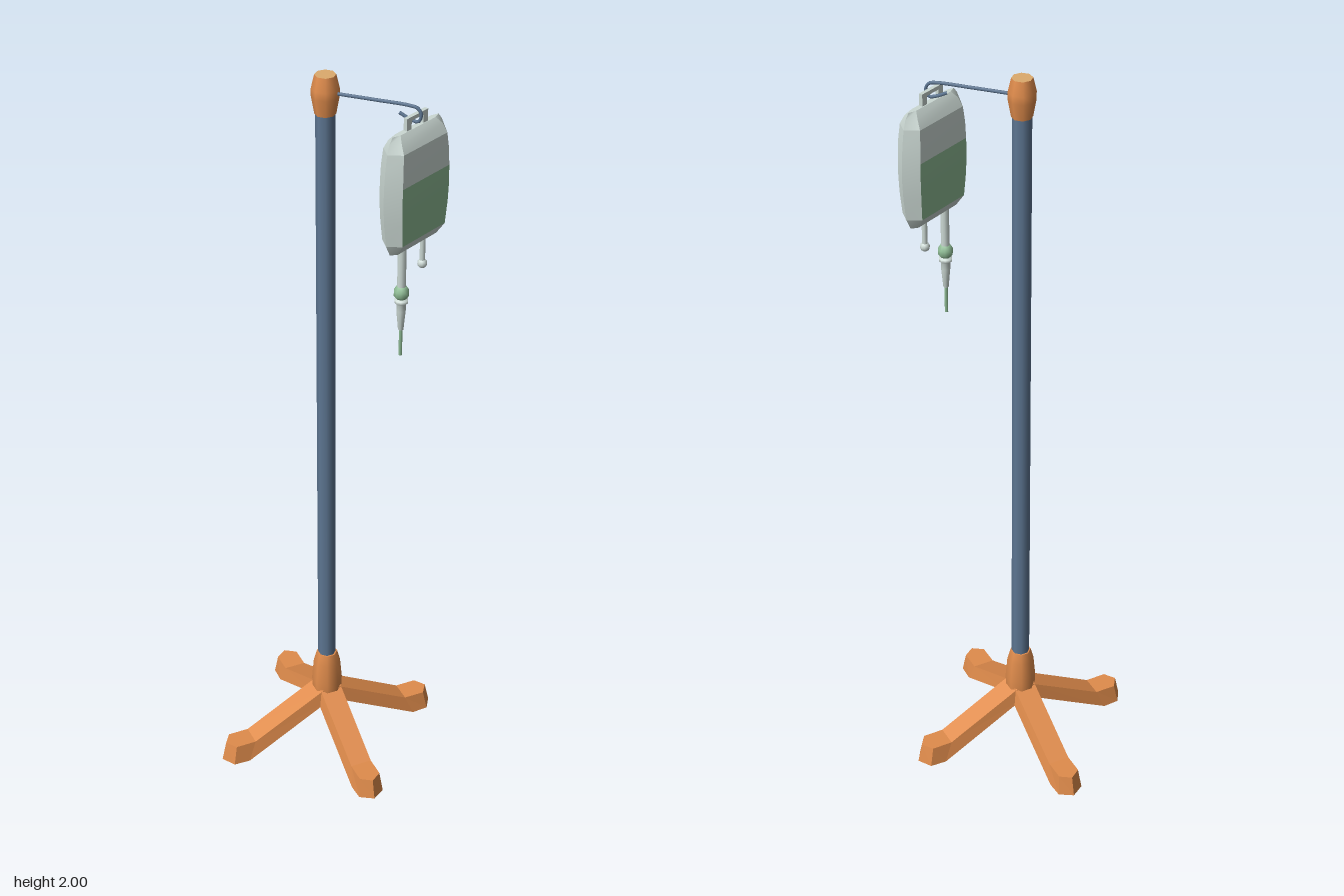
import * as THREE from 'three';

const mat = (name, color) => {
  const m = new THREE.MeshStandardMaterial({ color });
  m.name = name;
  return m;
};

// Surface through rows of points; each row is an open strip of [x, y, z]
function sheet(rows, caps = false) {
  const n = rows[0].length, idx = [];
  for (let i = 0; i < rows.length - 1; i++)
    for (let j = 0; j < n - 1; j++) {
      const a = i * n + j, d = a + n;
      idx.push(a, a + 1, d + 1, a, d + 1, d);
    }
  if (caps) {
    const e = (rows.length - 1) * n;
    for (let j = 1; j < n - 2; j++) idx.push(e, e + j, e + j + 1, 0, j + 1, j);
  }
  const g = new THREE.BufferGeometry();
  g.setAttribute('position', new THREE.Float32BufferAttribute(rows.flat(2), 3));
  g.setIndex(idx);
  g.computeVertexNormals();
  return g;
}

function flat(g) {
  const f = g.toNonIndexed();
  f.computeVertexNormals();
  return f;
}

export function createModel() {
  const orange = mat('orange', 0xe08c4c);
  const tan = mat('tan', 0xdcaa6c);
  const steel = mat('blue steel', 0x5d7692);
  const pale = mat('pale plastic', 0xcbd8d3);
  const green = mat('green fluid', 0x8ebb94);

  const model = new THREE.Group();
  const add = (parent, name, geo, material, x = 0, y = 0, z = 0) => {
    const m = new THREE.Mesh(geo, material);
    m.name = name;
    m.position.set(x, y, z);
    parent.add(m);
    return m;
  };
  const turned = (pts, sides) =>
    new THREE.LatheGeometry(pts.map(p => new THREE.Vector2(...p)), sides, Math.PI / sides);

  // Stand: pole, hub, cap and four splayed legs
  const stand = new THREE.Group();
  stand.name = 'stand';
  stand.position.x = -0.027;
  model.add(stand);

  add(stand, 'pole', new THREE.CylinderGeometry(0.024, 0.024, 1.68, 8, 1, true, Math.PI / 8), steel, 0, 1.08);
  add(stand, 'hub', turned([[0.04, 0.16], [0.041, 0.19], [0.036, 0.25], [0.028, 0.28]], 8), orange);
  add(stand, 'hubTop', turned([[0.028, 0.28], [0.02, 0.28]], 8), orange);
  add(stand, 'hubBase', turned([[0, 0.16], [0.04, 0.16]], 8), orange);
  add(stand, 'cap', turned([[0.026, 1.9], [0.034, 1.945], [0.034, 1.965], [0.026, 2]], 8), orange);
  add(stand, 'capTop', turned([[0.026, 2], [0, 2]], 8), tan);
  add(stand, 'capBase', turned([[0.02, 1.9], [0.026, 1.9]], 8), tan);

  // Leg sections: top distance, top height, top half width, then the same for the bottom
  const legRows = [
    [0, 0.18, 0.03, 0, 0.138, 0.037],
    [0.228, 0.055, 0.029, 0.25, 0, 0.037],
    [0.284, 0.055, 0.029, 0.294, 0, 0.035],
    [0.304, 0.055, 0, 0.316, 0, 0],
  ].map(([ts, ty, tw, bs, by, bw]) =>
    [[ts, ty, -tw], [ts, ty, tw], [bs, by, bw], [bs, by, -bw], [ts, ty, -tw]]);
  const legGeo = flat(sheet(legRows, true));
  for (let k = 0; k < 4; k++)
    add(stand, 'leg' + (k + 1), legGeo, orange).rotation.y = Math.PI / 4 + k * Math.PI / 2;

  // Hanging hook
  const hookPath = new THREE.CatmullRomCurve3([
    [-0.01, 1.955], [0.1, 1.956], [0.18, 1.956], [0.202, 1.952], [0.211, 1.938],
    [0.204, 1.918], [0.185, 1.921], [0.157, 1.934],
  ].map(([x, y]) => new THREE.Vector3(x, y, 0)));
  add(model, 'hook', new THREE.TubeGeometry(hookPath, 40, 0.0042, 6), steel);

  // Fluid bag, turned 70 degrees; its broad faces look along local z
  const bag = new THREE.Group();
  bag.name = 'fluidBag';
  bag.position.x = 0.198;
  bag.rotation.y = THREE.MathUtils.degToRad(70);
  model.add(bag);

  // Rings: height, tip reach, face half width, face depth
  const rings = [
    [1.6, 0.088, 0.072, 0.012],
    [1.63, 0.103, 0.08, 0.031],
    [1.69, 0.111, 0.085, 0.034],
    [1.74, 0.114, 0.087, 0.035],
    [1.785, 0.113, 0.086, 0.035],
    [1.83, 0.109, 0.084, 0.034],
    [1.87, 0.103, 0.08, 0.031],
    [1.893, 0.096, 0.075, 0.02],
    [1.908, 0.084, 0.064, 0.007],
  ].map(([y, u, f, d]) =>
    [[u, y, 0], [f, y, -d], [-f, y, -d], [-u, y, 0], [-f, y, d], [f, y, d], [u, y, 0]]);
  const bands = [['bagBottom', 0, 1], ['bagLower', 1, 4], ['bagUpper', 4, 6], ['bagShoulder', 6, 8]];
  for (let s = 0; s < 6; s++) {
    const broad = s === 1 || s === 4;
    for (const [name, from, to] of broad ? bands : [bands[0], ['bagSide', 1, 6], bands[3]]) {
      const rows = rings.slice(from, to + 1).map(r => [r[s], r[s + 1]]);
      add(bag, name, sheet(rows), name === 'bagLower' ? green : pale);
    }
  }
  add(bag, 'bagTop', sheet([rings[8], rings[8]], true), pale);
  add(bag, 'bagBase', sheet([rings[0], rings[0]], true), pale);

  // Hanging loop on top of the bag
  for (const x of [-0.03, 0.03])
    add(bag, 'loopPost', new THREE.BoxGeometry(0.017, 0.028, 0.01), pale, x, 1.916);
  add(bag, 'loopBar', new THREE.BoxGeometry(0.077, 0.01, 0.01), pale, 0, 1.934);

  // Drip line
  const drip = new THREE.Group();
  drip.name = 'dripLine';
  drip.position.x = -0.042;
  bag.add(drip);
  add(drip, 'outlet', turned([[0.011, 1.49], [0.011, 1.61]], 10), pale);
  add(drip, 'collar', turned([[0, 1.462], [0.013, 1.464], [0.019, 1.472], [0.019, 1.485], [0.012, 1.497], [0, 1.498]], 10), green);
  add(drip, 'chamber', turned([[0, 1.375], [0.007, 1.376], [0.012, 1.43], [0.012, 1.448], [0.017, 1.452], [0.017, 1.46], [0, 1.465]], 10), pale);
  add(drip, 'tube', turned([[0, 1.303], [0.0045, 1.303], [0.0045, 1.38]], 8), green);

  // Filling port with rounded plug
  add(bag, 'fillPort', turned([[0.007, 1.53], [0.007, 1.61]], 10), pale, 0.036);
  add(bag, 'fillPlug', new THREE.SphereGeometry(0.0125, 10, 8), pale, 0.036, 1.527);

  return model;
}
